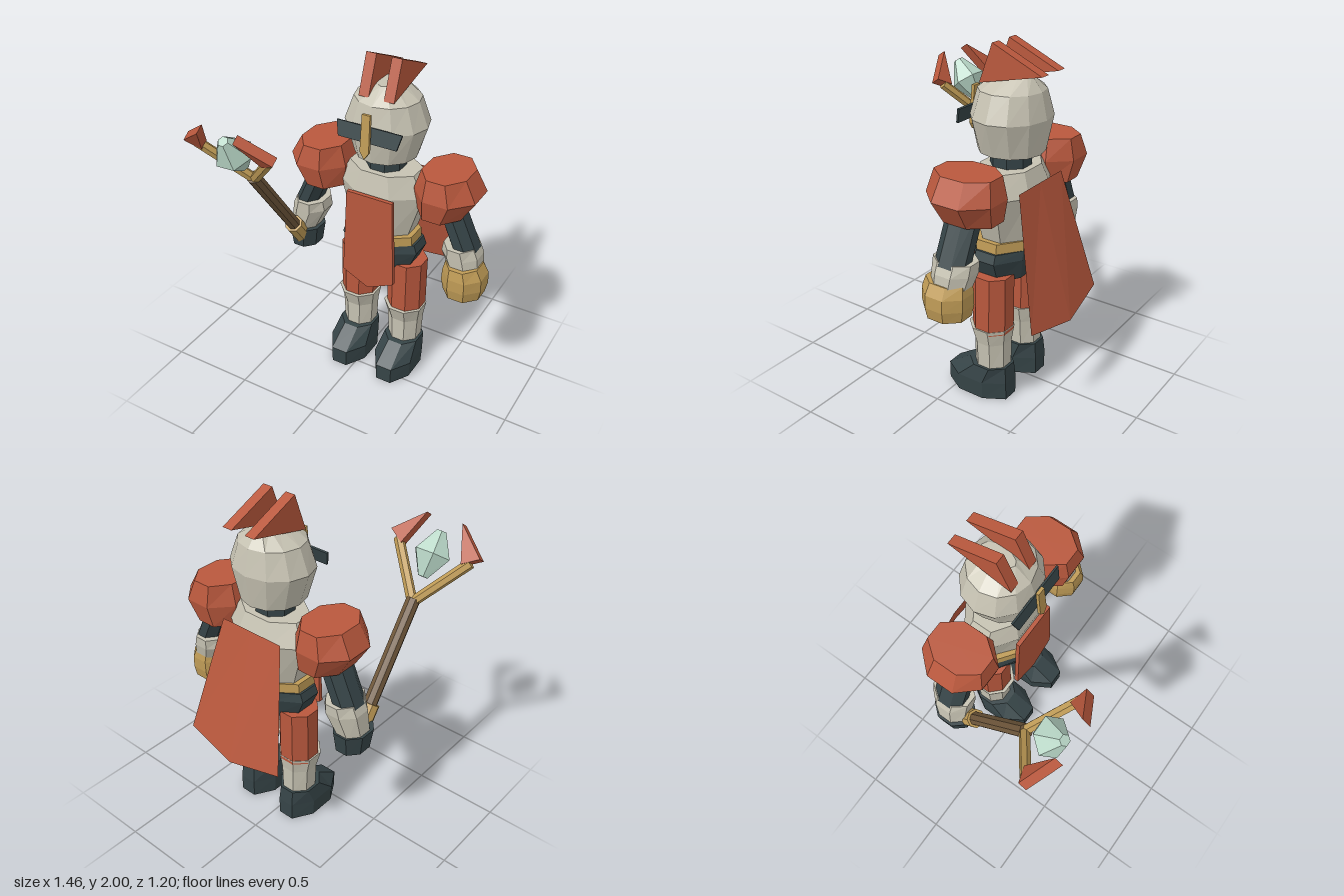
import * as THREE from 'three';

const mat = (name, color, double = false) => {
  const m = new THREE.MeshStandardMaterial({ color });
  m.name = name;
  if (double) m.side = THREE.DoubleSide;
  return m;
};

const CX = 0.075; // body centre line
const CZ = -0.2;

// Faceted solid through stacked rings [y, cx, cz, rx, rz]
function loft(rings, n = 8, half = true) {
  const k = half ? 1 / Math.cos(Math.PI / n) : 1;
  const pts = rings.map(([y, cx, cz, rx, rz]) => Array.from({ length: n }, (_, i) => {
    const a = ((i + (half ? 0.5 : 0)) / n) * Math.PI * 2;
    return [cx + rx * k * Math.sin(a), y, cz + rz * k * Math.cos(a)];
  }));
  const pos = [];
  const last = rings.length - 1;
  const centre = (r) => [r[1], r[0], r[2]];
  for (let j = 0; j < n; j++) {
    const m = (j + 1) % n;
    for (let i = 0; i < last; i++) {
      const a = pts[i][j], b = pts[i][m], c = pts[i + 1][m], d = pts[i + 1][j];
      pos.push(...a, ...b, ...c, ...a, ...c, ...d);
    }
    pos.push(...centre(rings[0]), ...pts[0][m], ...pts[0][j]);
    pos.push(...centre(rings[last]), ...pts[last][j], ...pts[last][m]);
  }
  const g = new THREE.BufferGeometry();
  g.setAttribute('position', new THREE.Float32BufferAttribute(pos, 3));
  g.computeVertexNormals();
  return g;
}

// Flat outline given depth, centred on its own plane
function prism(points, depth) {
  const shape = new THREE.Shape(points.map((p) => new THREE.Vector2(...p)));
  return new THREE.ExtrudeGeometry(shape, { depth, bevelEnabled: false }).translate(0, 0, -depth / 2);
}

// Faceted rod along y
function rod(radius, from, to, sides) {
  const g = new THREE.CylinderGeometry(radius, radius, to - from, sides).toNonIndexed();
  g.computeVertexNormals();
  return g.translate(0, (from + to) / 2, 0);
}

export function createModel() {
  const steel = mat('pale steel', 0xc6c2b2);
  const red = mat('brick red', 0xb9583d);
  const cloth = mat('red cloth', 0xb9583d, true);
  const dark = mat('dark slate', 0x364447);
  const gold = mat('brass gold', 0xbf9b56);
  const wood = mat('brown wood', 0x6f573b);
  const gem = mat('pale green crystal', 0xb8d6c6);

  const model = new THREE.Group();
  const add = (name, geometry, material, parent = model) => {
    const mesh = new THREE.Mesh(geometry, material);
    mesh.name = name;
    parent.add(mesh);
    return mesh;
  };

  // Head and helmet
  add('helmet', loft([
    [1.43, CX, -0.205, 0.18, 0.18], [1.62, CX, -0.205, 0.24, 0.21],
    [1.76, CX, -0.205, 0.185, 0.178], [1.84, CX, -0.22, 0.05, 0.1],
  ], 12, false), steel);
  add('neck', loft([[1.3, CX, CZ, 0.105, 0.105], [1.45, CX, CZ, 0.105, 0.105]]), dark);
  for (const x of [0, 0.15]) {
    const fin = prism([[-0.07, 1.785], [-0.445, 1.87], [-0.15, 2]], 0.06);
    add('helmetCrest', fin.rotateY(-Math.PI / 2), red).position.x = x;
  }
  const visor = add('visor', prism([
    [-0.175, -0.043], [0.175, -0.043], [0.195, 0.043], [-0.195, 0.043],
  ], 0.012), dark);
  visor.position.set(CX, 1.615, 0.008);
  visor.rotation.x = -0.28;
  const guard = add('noseGuard', prism([
    [0, -0.125], [0.027, -0.085], [0.024, 0.125], [-0.024, 0.125], [-0.027, -0.085],
  ], 0.018), gold);
  guard.position.set(CX, 1.615, 0.036);
  guard.rotation.x = -0.08;

  // Torso, belt and hips
  add('breastplate', loft([
    [0.93, CX, -0.2, 0.17, 0.135], [1.225, CX, -0.21, 0.262, 0.178], [1.35, CX, -0.2, 0.2, 0.14],
  ]), steel);
  add('belt', loft([[0.905, CX, -0.19, 0.213, 0.155], [0.96, CX, -0.19, 0.208, 0.152]]), gold);
  add('hips', loft([
    [0.73, CX, -0.195, 0.19, 0.13], [0.855, CX, -0.195, 0.243, 0.155], [0.905, CX, -0.195, 0.225, 0.15],
  ]), dark);
  add('tabard', prism([
    [CX, 0.61], [0.24, 0.69], [0.22, 1.23], [-0.065, 1.23], [-0.09, 0.69],
  ], 0.024), red).position.z = -0.012;

  // Cape: two panels meeting on a centre fold
  const cape = new THREE.BufferGeometry();
  cape.setAttribute('position', new THREE.Float32BufferAttribute([
    -0.13, 1.28, -0.388, CX, 1.28, -0.388, 0.28, 1.28, -0.388,
    -0.255, 0.58, -0.562, CX, 0.52, -0.6, 0.41, 0.58, -0.562,
  ], 3));
  cape.setIndex([0, 1, 4, 0, 4, 3, 1, 2, 5, 1, 5, 4]);
  const capeFlat = cape.toNonIndexed();
  capeFlat.computeVertexNormals();
  add('cape', capeFlat, cloth);

  // Arms and legs
  for (const s of [1, -1]) {
    const side = s > 0 ? 'left' : 'right';
    const limb = (name, rings, material) => add(side + name,
      loft(rings.map(([y, dx, cz, rx, rz]) => [y, CX + s * dx, cz, rx, rz])), material);

    limb('Thigh', [[0.42, 0.158, CZ, 0.107, 0.107], [0.765, 0.158, CZ, 0.107, 0.107]], red);
    limb('Greave', [
      [0.18, 0.156, CZ, 0.092, 0.095], [0.35, 0.156, CZ, 0.1, 0.096], [0.445, 0.156, -0.19, 0.118, 0.118],
    ], steel);
    limb('Boot', [
      [0, 0.156, -0.123, 0.116, 0.197], [0.105, 0.156, -0.123, 0.122, 0.197],
      [0.2, 0.156, -0.19, 0.108, 0.12],
    ], dark);

    limb('ShoulderGuard', [
      [1.17, 0.365, CZ, 0.13, 0.17], [1.3, 0.395, CZ, 0.18, 0.198], [1.42, 0.38, CZ, 0.13, 0.172],
    ], red);
    limb('UpperArm', [[0.97, 0.515, CZ, 0.072, 0.093], [1.25, 0.39, CZ, 0.068, 0.093]], dark);
    limb('Forearm', [
      [0.78, 0.54, -0.185, 0.08, 0.095], [0.93, 0.495, CZ, 0.108, 0.116], [0.99, 0.487, CZ, 0.09, 0.118],
    ], steel);
    limb('Hand', [[0.675, 0.53, -0.178, 0.085, 0.1], [0.8, 0.53, -0.178, 0.102, 0.118]], dark);
    if (s > 0) {
      limb('Gauntlet', [
        [0.685, 0.53, -0.176, 0.108, 0.118], [0.75, 0.53, -0.176, 0.121, 0.13],
        [0.82, 0.53, -0.176, 0.118, 0.13], [0.88, 0.52, -0.176, 0.095, 0.118],
      ], gold);
    }
  }

  // Staff, leaning forward from the right hand; its origin is the fork
  const staff = new THREE.Group();
  staff.name = 'staff';
  staff.position.set(-0.452, 1.35, 0.31);
  staff.rotation.x = 0.61;
  model.add(staff);
  add('shaft', rod(0.04, -0.78, 0.02, 8), wood, staff);
  add('grip', rod(0.055, -0.79, -0.59, 8), gold, staff);
  for (const s of [1, -1]) {
    add('prong', rod(0.029, -0.02, 0.375, 6), gold, staff).rotation.z = -s * Math.atan2(0.23, 0.3);
    const blade = [[0.28, 0.33], [0.11, 0.475], [0.19, 0.275]].map(([x, y]) => [s * x, y]);
    add('prongBlade', prism(blade, 0.055), red, staff);
  }
  add('crystal', loft([
    [0.145, 0, 0, 0.03, 0.03], [0.275, 0, 0, 0.11, 0.1], [0.405, 0, 0, 0.03, 0.03],
  ], 6, false).rotateY(Math.PI / 6), gem, staff);

  return model;
}
